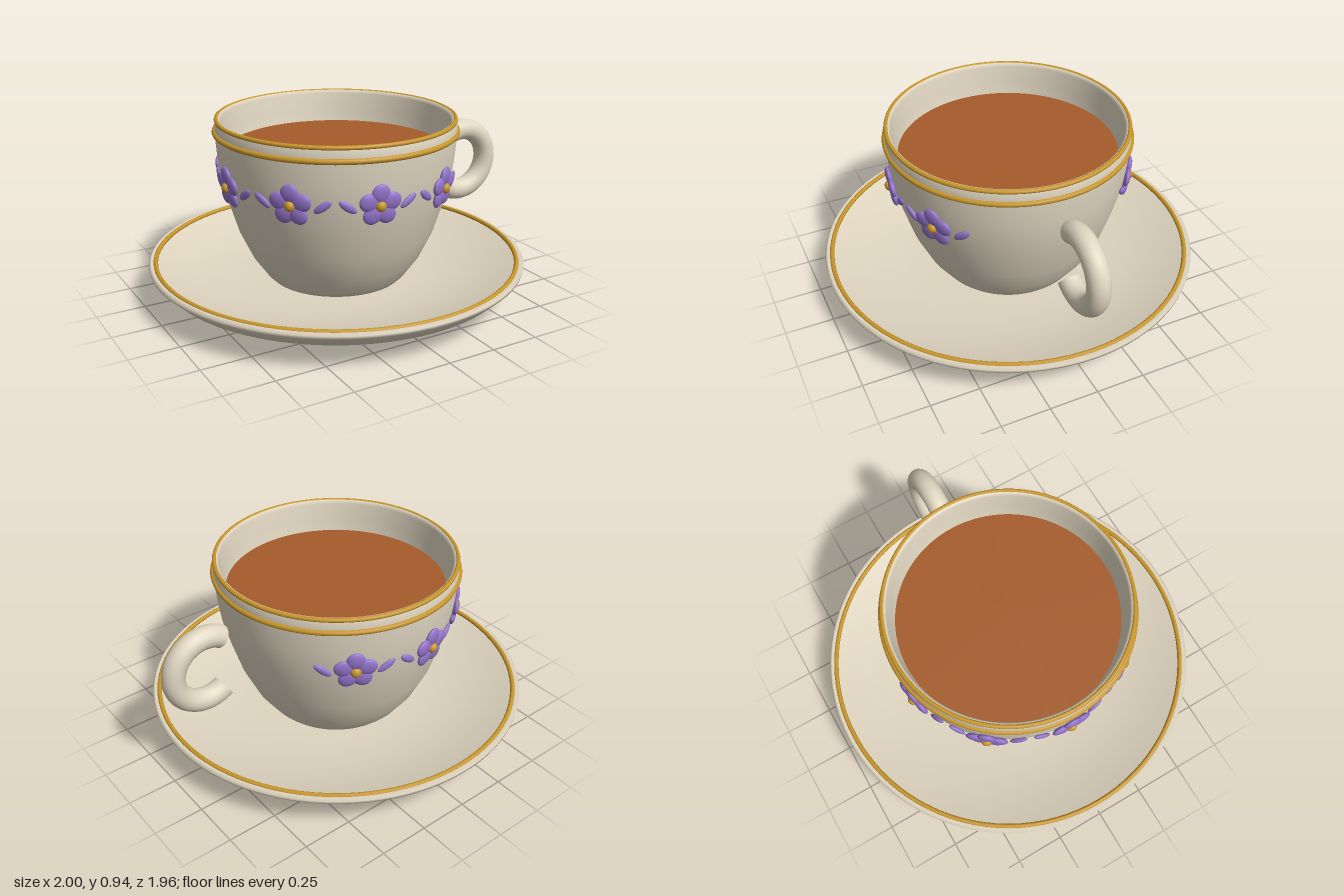
import * as THREE from 'three';

const mat = (name, color) => Object.assign(new THREE.MeshStandardMaterial({ color }), { name });

export function createModel() {
  const porcelain = mat('porcelain', 0xdfd5c0);
  const gold = mat('gold', 0xc8962a);
  const tea = mat('tea', 0xa55c2b);
  const violet = mat('violet', 0x9575cd);

  const model = new THREE.Group();
  model.name = 'teacupAndSaucer';
  const set = new THREE.Group();
  set.name = 'crockery';
  set.position.x = -0.02; // the handle overhangs the saucer on one side
  model.add(set);

  const add = (parent, name, geometry, material) => {
    const mesh = new THREE.Mesh(geometry, material);
    mesh.name = name;
    parent.add(mesh);
    return mesh;
  };
  const lathe = (pts) => new THREE.LatheGeometry(pts.map(([r, y]) => new THREE.Vector2(r, y)), 96);
  const ring = (name, r, y, tube) => {
    const mesh = add(set, name, new THREE.TorusGeometry(r, tube, 10, 96), gold);
    mesh.rotation.x = Math.PI / 2;
    mesh.position.y = y;
  };

  // Saucer: underside, lip, then the dished top
  add(set, 'saucer', lathe([
    [0, 0], [0.46, 0], [0.475, 0.012], [0.545, 0.05], [0.785, 0.077], [0.91, 0.117], [0.976, 0.18],
    [0.978, 0.195], [0.965, 0.207], [0.94, 0.195], [0.78, 0.14], [0.6, 0.105], [0.42, 0.09], [0, 0.09],
  ]), porcelain);
  ring('saucerRim', 0.942, 0.199, 0.012);

  // Cup: outer wall, rim, then inner wall
  add(set, 'cup', lathe([
    [0, 0.09], [0.35, 0.09], [0.375, 0.115], [0.445, 0.215], [0.51, 0.355], [0.56, 0.52], [0.59, 0.64],
    [0.603, 0.74], [0.613, 0.87], [0.607, 0.935], [0.59, 0.938], [0.58, 0.92], [0.57, 0.83],
    [0.552, 0.74], [0.5, 0.5], [0.4, 0.24], [0.3, 0.14], [0, 0.13],
  ]), porcelain);
  ring('cupRim', 0.602, 0.931, 0.011);
  ring('cupBand', 0.612, 0.87, 0.014);

  const surface = add(set, 'teaSurface', new THREE.CircleGeometry(0.556, 96), tea);
  surface.rotation.x = -Math.PI / 2;
  surface.position.y = 0.77;

  // Handle: an open ring with its gap towards the cup, and flat ends
  const handle = new THREE.Group();
  handle.name = 'handle';
  handle.position.set(0.79, 0.588, 0);
  set.add(handle);
  const half = 2.16, R = 0.172, tube = 0.057;
  const grip = add(handle, 'handleRing', new THREE.TorusGeometry(R, tube, 20, 48, half * 2), porcelain);
  grip.rotation.z = -half;
  for (const s of [1, -1]) {
    const end = add(handle, 'handleEnd', new THREE.CircleGeometry(tube, 20), porcelain);
    end.position.set(Math.cos(half) * R, s * Math.sin(half) * R, 0);
    end.lookAt(end.position.clone().add(new THREE.Vector3(-Math.sin(half), s * Math.cos(half), 0)));
  }

  // Flower garland, leaving a gap at the handle
  const blob = new THREE.SphereGeometry(1, 20, 14);
  const onCup = (name, degrees) => {
    const pivot = new THREE.Group();
    pivot.name = name;
    pivot.rotation.y = THREE.MathUtils.degToRad(degrees);
    set.add(pivot);
    const face = new THREE.Group();
    face.position.set(0, 0.65, 0.597);
    face.rotation.x = 0.14; // follow the lean of the wall
    pivot.add(face);
    return face;
  };
  for (let i = 0; i < 7; i++) {
    const angle = 30 - i * 40;
    const flower = onCup('flower', angle);
    for (let p = 0; p < 5; p++) {
      const a = (p / 5) * Math.PI * 2;
      const petal = add(flower, 'petal', blob, violet);
      petal.scale.set(0.046, 0.05, 0.018);
      petal.position.set(-Math.sin(a) * 0.057, Math.cos(a) * 0.057, 0.004);
      petal.rotation.z = a;
    }
    const heart = add(flower, 'flowerCentre', blob, gold);
    heart.scale.set(0.026, 0.026, 0.022);
    heart.position.z = 0.016;

    for (const s of [1, -1]) {
      const leaf = add(onCup('leafSpray', angle + s * 14.5), 'leaf', blob, violet);
      leaf.scale.set(0.05, 0.02, 0.012);
      leaf.position.z = 0.002;
      leaf.rotation.z = s * 0.62;
    }
  }
  return model;
}
